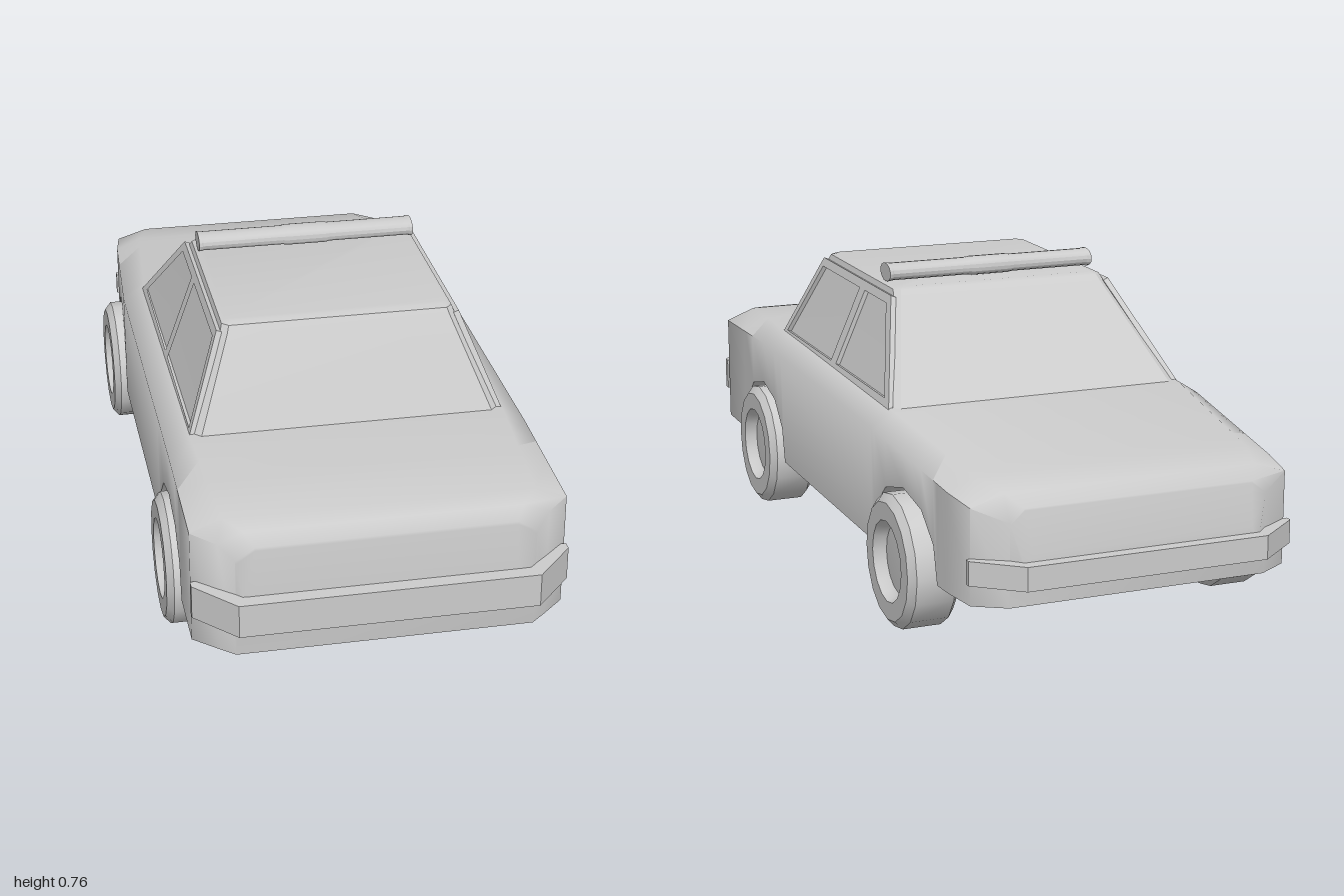
import * as THREE from 'three';
import { toCreasedNormals } from 'three/addons/utils/BufferGeometryUtils.js';

const material = new THREE.MeshStandardMaterial({ color: 0xcccccc });

function add(parent, name, geometry) {
  const mesh = new THREE.Mesh(geometry, material);
  mesh.name = name;
  parent.add(mesh);
  return mesh;
}

// Skin over equal-length rings of points, closed by a cap at both ends
function loft(rings, crease) {
  const n = rings[0].length, index = [];
  for (let r = 0; r < rings.length - 1; r++) {
    for (let i = 0; i < n; i++) {
      const j = (i + 1) % n, a = r * n + i, b = r * n + j;
      index.push(a, b, b + n, a, b + n, a + n);
    }
  }
  const last = (rings.length - 1) * n;
  for (let i = 1; i < n - 1; i++) {
    index.push(0, i + 1, i, last, last + i, last + i + 1);
  }
  const g = new THREE.BufferGeometry();
  g.setAttribute('position', new THREE.Float32BufferAttribute(rings.flat(2), 3));
  g.setIndex(index);
  return toCreasedNormals(g, crease);
}

const axles = [0.52, -0.56];

// Piecewise linear lookup in rows that start with z
function sample(rows, z) {
  let i = 0;
  while (i < rows.length - 2 && z > rows[i + 1][0]) i++;
  const a = rows[i], b = rows[i + 1];
  const t = THREE.MathUtils.clamp((z - a[0]) / (b[0] - a[0]), 0, 1);
  return a.map((v, k) => v + (b[k] - v) * t);
}

function bodyGeometry() {
  // z, half width, shoulder height, half width of top, top height
  const upper = [
    [-0.97, 0.29, 0.26, 0.27, 0.28], [-0.945, 0.315, 0.35, 0.28, 0.38],
    [-0.90, 0.39, 0.38, 0.31, 0.405], [-0.80, 0.405, 0.39, 0.34, 0.42],
    [-0.37, 0.435, 0.435, 0.38, 0.47], [0.52, 0.435, 0.445, 0.38, 0.48],
    [0.87, 0.435, 0.435, 0.36, 0.465], [0.92, 0.38, 0.43, 0.32, 0.455],
    [0.95, 0.345, 0.40, 0.30, 0.43], [0.965, 0.33, 0.31, 0.30, 0.32],
  ];
  // z, underside height, with full-width wheel arches
  const arch = [[-0.185, 0.155], [-0.165, 0.245], [-0.10, 0.31], [0, 0.335],
    [0.10, 0.31], [0.165, 0.245], [0.185, 0.155]];
  const lower = [[-0.97, 0.24], [-0.946, 0.24], [-0.945, 0.155],
    [0.95, 0.155], [0.951, 0.25], [0.965, 0.25]];
  for (const axle of axles) lower.push(...arch.map(([z, y]) => [axle + z, y]));
  lower.sort((a, b) => a[0] - b[0]);

  const stations = [...new Set([...upper, ...lower].map((row) => row[0]))].sort((a, b) => a - b);
  const rings = stations.map((z) => {
    const [, w, ys, wt, yt] = sample(upper, z);
    const yb = sample(lower, z)[1];
    return [[-w, yb, z], [w, yb, z], [w, ys, z], [wt, yt, z], [-wt, yt, z], [-w, ys, z]];
  });
  return loft(rings, 1.1);
}

function cabinGeometry() {
  // height, half width, front z, back z
  const levels = [[0.45, 0.379, 0.53, -0.39], [0.69, 0.285, 0.405, -0.14],
    [0.705, 0.28, 0.395, -0.125], [0.71, 0.27, 0.38, -0.11]];
  const c = 0.015;
  return loft(levels.map(([y, w, f, b]) => [
    [-w, y, f - c], [-w + c, y, f], [w - c, y, f], [w, y, f - c],
    [w, y, b + c], [w - c, y, b], [-w + c, y, b], [-w, y, b + c],
  ]), 0.5);
}

// Thin leaning frame with two window openings
function windowFrame(side) {
  const lean = Math.atan2(0.09, 0.23);
  const toPoints = (list) => list.map(([z, v]) => new THREE.Vector2(-side * z, v));
  const shape = new THREE.Shape(toPoints([[0.51, 0], [-0.365, 0], [-0.135, 0.25], [0.395, 0.25]]));
  const windows = [
    [[0.475, 0.025], [0.10, 0.025], [0.08, 0.228], [0.38, 0.228]],
    [[0.06, 0.025], [-0.31, 0.025], [-0.12, 0.228], [0.04, 0.228]],
  ];
  for (const w of windows) shape.holes.push(new THREE.Path(toPoints(w)));
  const g = new THREE.ExtrudeGeometry(shape, { depth: 0.014, bevelEnabled: false });
  const s = Math.sin(lean), co = Math.cos(lean);
  const m = new THREE.Matrix4().makeBasis(
    new THREE.Vector3(0, 0, -side),
    new THREE.Vector3(-side * s, co, 0),
    new THREE.Vector3(side * co, s, 0));
  m.setPosition(side * 0.373, 0.457, 0);
  return g.applyMatrix4(m);
}

// Bumper cut from its half outline [x, z], mirrored and raised from y0 to y1
function bumperGeometry(half, y0, y1) {
  const outline = [...half, ...half.map(([x, z]) => [-x, z]).reverse()];
  const shape = new THREE.Shape(outline.map(([x, z]) => new THREE.Vector2(x, -z)));
  const g = new THREE.ExtrudeGeometry(shape, { depth: y1 - y0, bevelEnabled: false });
  return g.rotateX(-Math.PI / 2).translate(0, y0, 0);
}

function wheelGeometry() {
  // Radius and offset along the axle: hub, dished rim, tyre
  const half = [[0, 0.038], [0.082, 0.034], [0.09, 0.044], [0.098, 0.063],
    [0.142, 0.063], [0.161, 0.047]];
  const profile = [...half.map(([r, x]) => [r, -x]), ...half.map(([r, x]) => [r, x]).reverse()];
  const g = new THREE.LatheGeometry(profile.map(([r, x]) => new THREE.Vector2(r, x)), 16);
  return toCreasedNormals(g.rotateZ(-Math.PI / 2), 0.7);
}

function lightBarGeometry() {
  // Oval bar with thicker middle and end caps
  const half = [[0, 0.275], [0.023, 0.275], [0.023, 0.268], [0.0215, 0.264],
    [0.0215, 0.06], [0.0235, 0.05]];
  const profile = [...half.map(([r, x]) => [r, -x]), ...half.map(([r, x]) => [r, x]).reverse()];
  const g = new THREE.LatheGeometry(profile.map(([r, x]) => new THREE.Vector2(r, x)), 16);
  return toCreasedNormals(g.rotateZ(-Math.PI / 2).scale(1, 1, 1.65), 0.7);
}

export function createModel() {
  const car = new THREE.Group();
  car.name = 'car';

  add(car, 'body', bodyGeometry());
  add(car, 'cabin', cabinGeometry());
  add(car, 'leftWindowFrame', windowFrame(1));
  add(car, 'rightWindowFrame', windowFrame(-1));

  add(car, 'frontBumper', bumperGeometry([[0.437, 0.88], [0.437, 0.90], [0.345, 1.0]], 0.233, 0.315));
  add(car, 'backBumper', bumperGeometry([[0.40, -0.90], [0.40, -0.915], [0.295, -1.0]], 0.208, 0.265));

  add(car, 'lightBar', lightBarGeometry()).position.set(0, 0.735, -0.04);

  // Wheels
  const wheel = wheelGeometry();
  axles.forEach((z, i) => {
    for (const side of [1, -1]) {
      const name = (i ? 'back' : 'front') + (side > 0 ? 'Left' : 'Right') + 'Wheel';
      add(car, name, wheel).position.set(side * 0.401, 0.161, z);
    }
  });
  return car;
}
